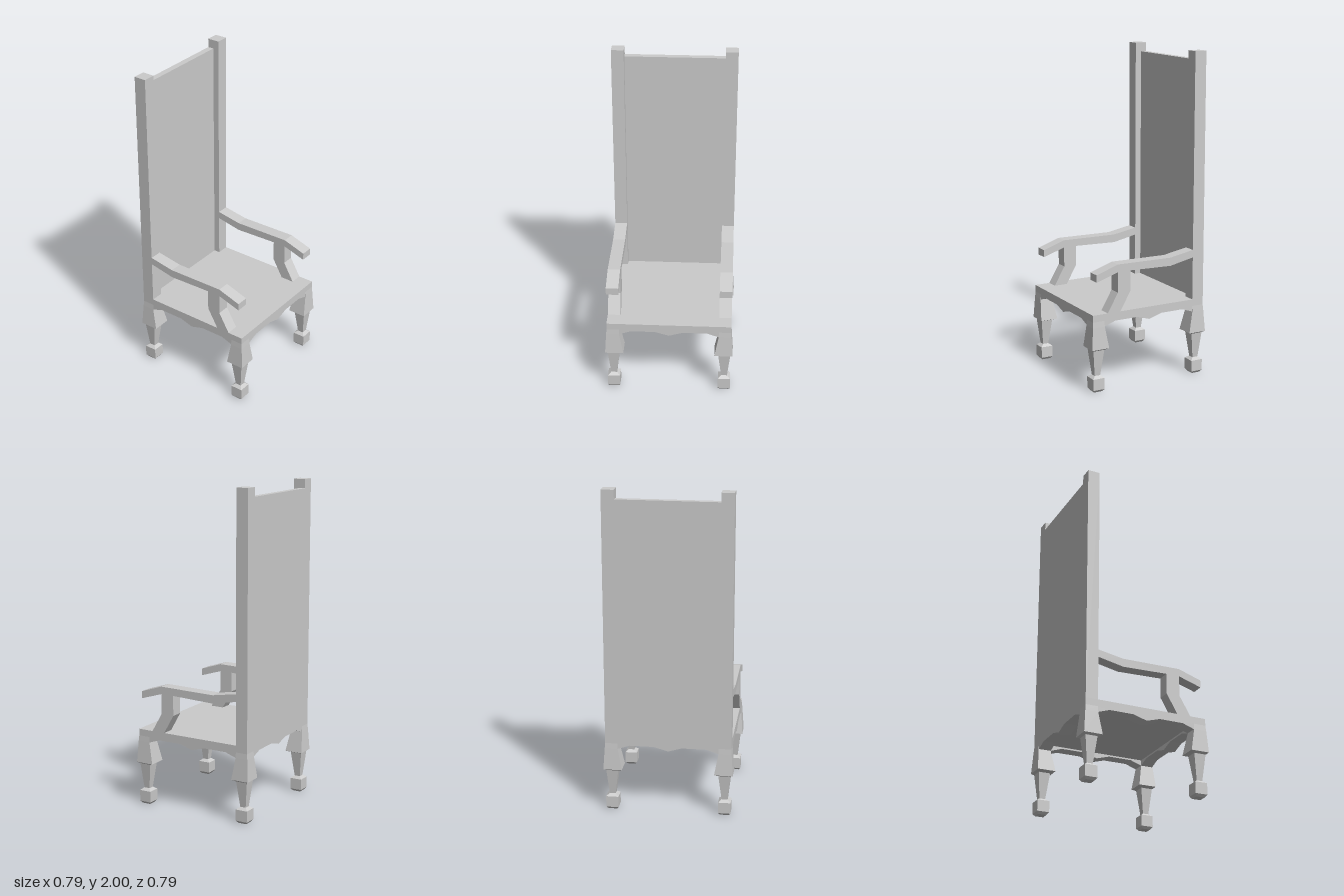
import * as THREE from 'three';

const material = new THREE.MeshStandardMaterial({ color: 0xcccccc, flatShading: true, side: THREE.DoubleSide });
const INNER = 0.308, OUTER = 0.385, T = OUTER - INNER; // frame member inner and outer faces
const MID = (INNER + OUTER) / 2;

function add(parent, name, geometry, x = 0, y = 0, z = 0) {
  const mesh = new THREE.Mesh(geometry, material);
  mesh.name = name;
  mesh.position.set(x, y, z);
  parent.add(mesh);
  return mesh;
}

// Box given by its minimum and maximum corners
function addBox(parent, name, [x0, y0, z0], [x1, y1, z1]) {
  const box = new THREE.BoxGeometry(x1 - x0, y1 - y0, z1 - z0);
  return add(parent, name, box, (x0 + x1) / 2, (y0 + y1) / 2, (z0 + z1) / 2);
}

function extrude(points, depth) {
  const shape = new THREE.Shape(points.map(([x, y]) => new THREE.Vector2(x, y)));
  return new THREE.ExtrudeGeometry(shape, { depth, bevelEnabled: false });
}

// Square leg for the +x +z corner, lofted through [y, inner, outer] sections
function legGeometry() {
  const sections = [
    [0, 0.32, 0.373], [0.015, INNER, OUTER], [0.085, INNER, OUTER], [0.1, 0.328, 0.365],
    [0.26, INNER, 0.382], [0.27, 0.283, 0.397], [0.405, INNER, 0.388], [0.44, INNER, OUTER],
  ];
  const positions = [], index = [];
  sections.forEach(([y, a, b], i) => {
    positions.push(a, y, b, b, y, b, b, y, a, a, y, a);
    if (i === 0) return;
    for (let k = 0; k < 4; k++) {
      const p = (i - 1) * 4 + k, q = (i - 1) * 4 + (k + 1) % 4;
      index.push(p, q, q + 4, p, q + 4, p + 4);
    }
  });
  const top = (sections.length - 1) * 4;
  index.push(0, 2, 1, 0, 3, 2, top, top + 1, top + 2, top, top + 2, top + 3);
  const geometry = new THREE.BufferGeometry();
  geometry.setAttribute('position', new THREE.Float32BufferAttribute(positions, 3));
  geometry.setIndex(index);
  const flat = geometry.toNonIndexed();
  flat.computeVertexNormals();
  return flat;
}

export function createModel() {
  const chair = new THREE.Group();
  chair.name = 'armchair';

  // Seat slab and tall back
  addBox(chair, 'seat', [-OUTER, 0.44, -OUTER], [OUTER, 0.482, OUTER]);
  addBox(chair, 'backPanel', [-INNER, 0.482, -OUTER], [INNER, 1.945, -0.347]);

  // Four legs and scalloped aprons, repeated by quarter turns
  const leg = legGeometry();
  const apron = extrude([
    [-INNER, 0.44], [-INNER, 0.405], [-0.235, 0.43], [-0.085, 0.43], [0, 0.405],
    [0.085, 0.43], [0.235, 0.43], [INNER, 0.405], [INNER, 0.44],
  ], T);
  for (let i = 0; i < 4; i++) {
    const corner = new THREE.Group();
    corner.name = 'legAndApron' + (i + 1);
    corner.rotation.y = i * Math.PI / 2;
    add(corner, 'leg', leg);
    add(corner, 'apron', apron, 0, 0, INNER);
    chair.add(corner);
  }

  // Arm and support profiles drawn as [z, y]
  const arm = extrude([
    [0.36, 0.68], [0.36, 0.725], [0.217, 0.772], [-0.148, 0.767], [-INNER, 0.795],
    [-INNER, 0.748], [-0.148, 0.716], [0.132, 0.725], [0.217, 0.725],
  ], T);
  const support = extrude([
    [0.286, 0.482], [0.217, 0.6], [0.217, 0.725], [0.132, 0.725], [0.132, 0.6], [0.2, 0.482],
  ], T);
  // Turn profiles into the z-y plane, centred on the member thickness
  for (const geometry of [arm, support]) geometry.translate(0, 0, -T / 2).rotateY(-Math.PI / 2);

  for (const [side, s] of [['left', 1], ['right', -1]]) {
    add(chair, side + 'BackPost', new THREE.BoxGeometry(T, 1.518, T), s * MID, 1.241, -MID);
    add(chair, side + 'Arm', arm, s * MID);
    add(chair, side + 'ArmSupport', support, s * MID);
  }
  return chair;
}
